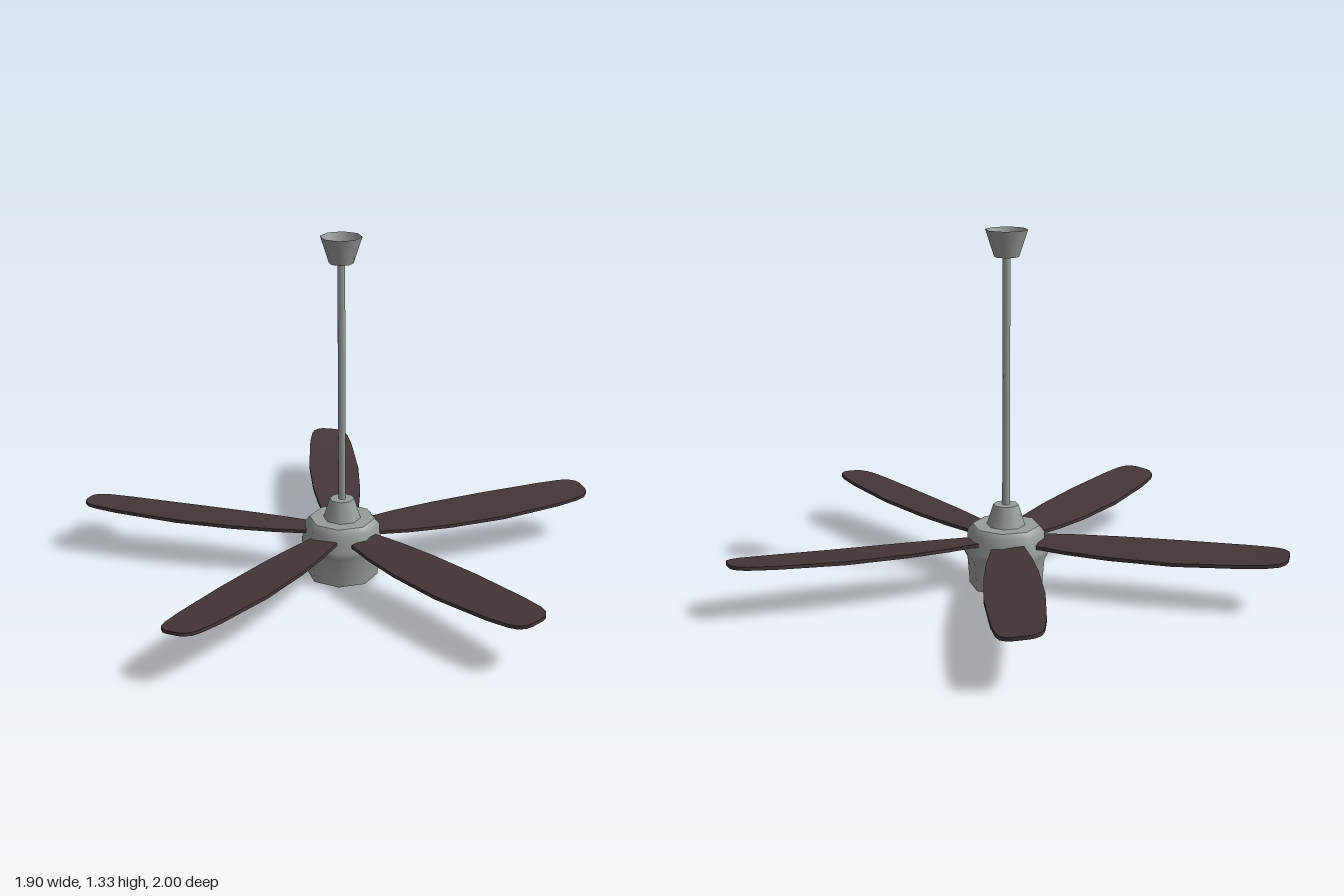
import * as THREE from 'three';

const SIDES = 8;
const BLADES = 5;

// Turned part from [radius, y] pairs, bottom to top; a repeated pair makes a hard edge
function turned(name, profile, material) {
  const points = profile.map(([r, y]) => new THREE.Vector2(r, y));
  const mesh = new THREE.Mesh(new THREE.LatheGeometry(points, SIDES), material);
  mesh.name = name;
  return mesh;
}

// Blade along +x: a divided box whose sections follow [distance, half width, height]
function bladeGeometry() {
  const stations = [
    [0.13, 0.06, 0.176], [0.25, 0.08, 0.175], [0.41, 0.096, 0.175], [0.64, 0.103, 0.178],
    [0.89, 0.09, 0.188], [0.98, 0.078, 0.193], [1.015, 0.066, 0.195], [1.035, 0.045, 0.197],
    [1.041, 0.025, 0.198],
  ];
  const thickness = 0.013;
  const pitch = 0.1;
  const n = stations.length - 1;
  const geometry = new THREE.BoxGeometry(1, 1, 1, n, 1, 1);
  const p = geometry.attributes.position;
  for (let i = 0; i < p.count; i++) {
    const [r, half, y] = stations[Math.round((p.getX(i) + 0.5) * n)];
    const z = p.getZ(i) * 2 * half;
    p.setXYZ(i, r, y + p.getY(i) * thickness - z * pitch, z);
  }
  geometry.computeVertexNormals();
  return geometry;
}

export function createModel() {
  const metal = new THREE.MeshStandardMaterial({ color: 0x979e9b });
  metal.name = 'greyMetal';
  metal.side = THREE.DoubleSide;
  const wood = new THREE.MeshStandardMaterial({ color: 0x443637 });
  wood.name = 'darkWood';

  const fan = new THREE.Group();
  fan.name = 'ceilingFan';
  fan.position.x = -0.09;

  // Motor housing with a bulged waist and closed bottom
  fan.add(turned('motorHousing', [
    [0, 0], [0.136, 0], [0.136, 0], [0.144, 0.1], [0.155, 0.122], [0.155, 0.145],
    [0.144, 0.175], [0.143, 0.21], [0.125, 0.232], [0.125, 0.232], [0, 0.232],
  ], metal));

  // Tapered collar around the foot of the rod
  fan.add(turned('collar', [
    [0.072, 0.23], [0.047, 0.31], [0.047, 0.31], [0, 0.31],
  ], metal));

  // Long hanging rod
  fan.add(turned('downrod', [[0.014, 0.3], [0.014, 1.235]], metal));

  // Ceiling cup, open at the top
  fan.add(turned('ceilingCanopy', [
    [0, 1.23], [0.045, 1.23], [0.045, 1.23], [0.077, 1.328],
  ], metal));

  // Five pitched blades
  const geometry = bladeGeometry();
  for (let i = 0; i < BLADES; i++) {
    const blade = new THREE.Mesh(geometry, wood);
    blade.name = `blade${i + 1}`;
    blade.rotation.y = (i * Math.PI * 2) / BLADES;
    fan.add(blade);
  }

  const model = new THREE.Group();
  model.name = 'model';
  model.add(fan);
  return model;
}
